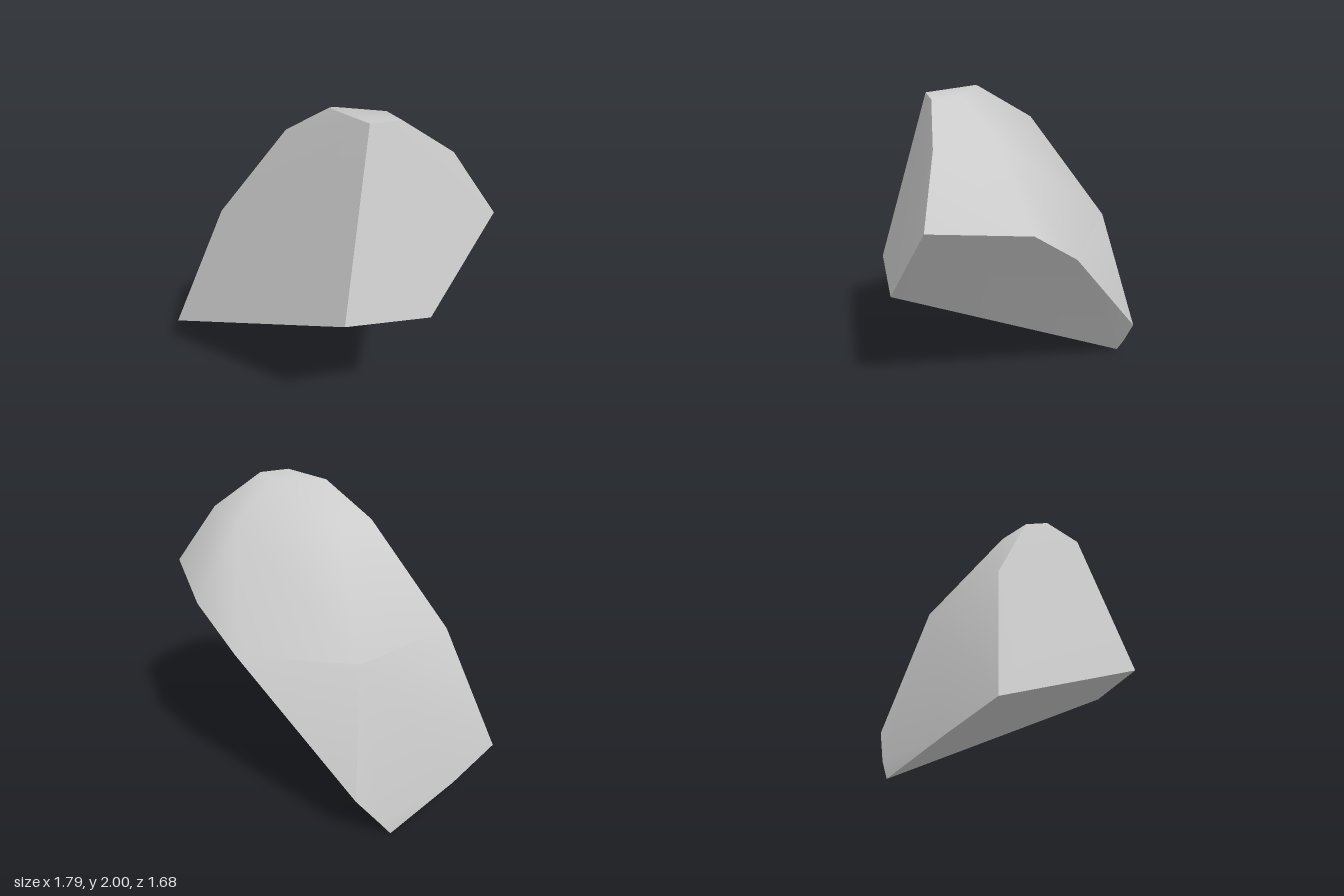
import * as THREE from 'three';
import { ConvexGeometry } from 'three/addons/geometries/ConvexGeometry.js';
import { toCreasedNormals } from 'three/addons/utils/BufferGeometryUtils.js';

export function createModel() {
  const group = new THREE.Group();
  group.name = 'rockShard';
  const stone = new THREE.MeshStandardMaterial({ color: 0xcccccc });
  stone.name = 'pale grey stone';

  // Corners where the flat fracture planes meet the front, the foot and the rim
  const corners = [
    [-0.895, 0.22, -0.58], [-0.11, 0.91, 0.81], [0.42, 0.88, 0.84],
    [0.85, 1.435, 0.7], [0.895, 1.37, 0.12],
    [0.125, 0.12, -0.84], [0.045, 0, -0.83], [-0.5, 0.12, -0.7],
  ];
  // Rounded back: [height, [x, z] from the left-hand cut, over the back ridge, to the right-hand cut]
  const rings = [
    [2.0, [[0.12, 0.525], [0, 0.2], [0.03, 0.19], [0.29, 0.36], [0.31, 0.53]]],
    [1.8, [[-0.18, -0.065], [0.06, -0.13], [0.58, 0.22], [0.61, 0.59]]],
    [1.14, [[-0.54, -0.43], [0.16, -0.6], [0.775, -0.18]]],
    [0.34, [[0.288, -0.82]]],
  ];
  const points = corners.map((p) => new THREE.Vector3(...p));
  for (const [y, ring] of rings) {
    for (const [x, z] of ring) points.push(new THREE.Vector3(x, y, z));
  }

  // Smooth the back but keep the fracture edges sharp
  const geometry = toCreasedNormals(new ConvexGeometry(points), THREE.MathUtils.degToRad(42));
  const rock = new THREE.Mesh(geometry, stone);
  rock.name = 'rock';
  group.add(rock);
  return group;
}
